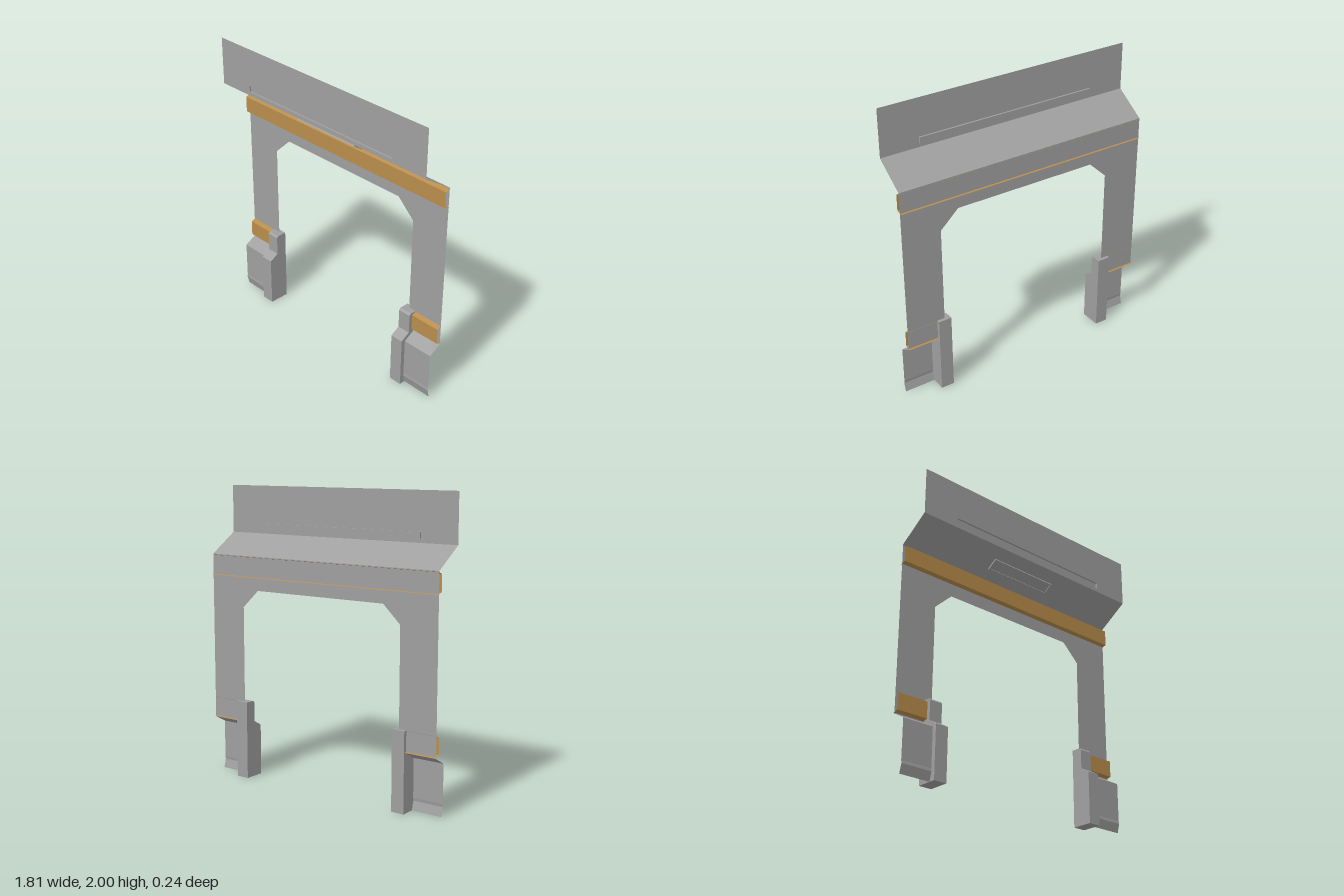
import * as THREE from 'three';

const grey = new THREE.MeshStandardMaterial({ color: 0x9f9f9f, side: THREE.DoubleSide, flatShading: true });
const ochre = new THREE.MeshStandardMaterial({ color: 0xb88d4b, side: THREE.DoubleSide, flatShading: true });

function addMesh(parent, name, geometry, material = grey) {
  const mesh = new THREE.Mesh(geometry, material);
  mesh.name = name;
  parent.add(mesh);
  return mesh;
}

// Open sheet: a [z, y] profile, listed from top to bottom, swept along x
function sheet(profile, x0, x1) {
  const pos = [];
  for (let i = 0; i < profile.length - 1; i++) {
    const [za, ya] = profile[i], [zb, yb] = profile[i + 1];
    pos.push(x0, ya, za, x0, yb, zb, x1, yb, zb);
    pos.push(x0, ya, za, x1, yb, zb, x1, ya, za);
  }
  const g = new THREE.BufferGeometry();
  g.setAttribute('position', new THREE.Float32BufferAttribute(pos, 3));
  g.computeVertexNormals();
  return g;
}

// Solid bar: a closed [z, y] profile extruded along x
function bar(profile, x0, x1) {
  const shape = new THREE.Shape(profile.map(([z, y]) => new THREE.Vector2(-z, y)));
  const g = new THREE.ExtrudeGeometry(shape, { depth: x1 - x0, bevelEnabled: false });
  return g.rotateY(Math.PI / 2).translate(x0, 0, 0);
}

// Rectangle of half sizes w, h around (0, y)
function rect(Type, w, h, y = 0) {
  return new Type([[-w, y - h], [w, y - h], [w, y + h], [-w, y + h]].map(p => new THREE.Vector2(...p)));
}

export function createModel() {
  const model = new THREE.Group();
  model.name = 'doorwayWall';
  const W = 0.903, wallZ = -0.095, topZ = 0.118;

  // Wall sheet with a chamfered opening
  const outline = [
    [-W, 0.4], [-0.632, 0.4], [-0.632, 1.19], [-0.505, 1.31], [0.505, 1.31],
    [0.632, 1.19], [0.632, 0.4], [W, 0.4], [W, 1.538], [-W, 1.538],
  ];
  const wall = new THREE.Shape(outline.map(p => new THREE.Vector2(...p)));
  addMesh(model, 'wall', new THREE.ShapeGeometry(wall)).position.z = wallZ;

  // Overhanging slope
  addMesh(model, 'slopingPanel', sheet([[topZ, 1.675], [wallZ, 1.538]], -W, W));

  // Upper panel with a shallow recess
  const upper = rect(THREE.Shape, W, 0.1625, 1.8375);
  upper.holes.push(rect(THREE.Path, 0.637, 0.021, 1.723));
  addMesh(model, 'upperPanel', new THREE.ShapeGeometry(upper)).position.z = topZ;
  const back = topZ - 0.012;
  addMesh(model, 'upperRecess',
    sheet([[topZ, 1.744], [back, 1.744], [back, 1.702], [topZ, 1.702]], -0.637, 0.637));
  for (const s of [-1, 1]) {
    const end = new THREE.PlaneGeometry(0.012, 0.042).rotateY(-s * Math.PI / 2);
    addMesh(model, 'recessEnd', end).position.set(s * 0.637, 1.723, topZ - 0.006);
  }

  // Lamp on the underside of the slope: a framed tray
  const lamp = new THREE.Group();
  lamp.name = 'slopeLamp';
  const frame = rect(THREE.Shape, 0.257, 0.042);
  frame.holes.push(rect(THREE.Path, 0.247, 0.032));
  addMesh(lamp, 'lampFrame', new THREE.ExtrudeGeometry(frame, { depth: 0.012, bevelEnabled: false }));
  addMesh(lamp, 'lampPlate', new THREE.PlaneGeometry(0.494, 0.064)).position.z = 0.006;
  lamp.position.set(0, 1.603, 0.01);
  lamp.rotation.x = Math.atan2(topZ - wallZ, 0.137);
  model.add(lamp);

  // Coloured trim, open at the back, its lower lip reaching behind the wall
  const trim = y => [[-0.099, y + 0.132], [-0.065, y + 0.117], [-0.065, y + 0.007], [-0.106, y - 0.004]];
  addMesh(model, 'upperTrim', sheet(trim(1.4), -W, W), ochre);

  // Parts that repeat on both sides of the opening
  const post = [[-0.118, 0], [0.025, 0], [0.025, 0.352], [-0.04, 0.39], [-0.04, 0.522], [-0.052, 0.535], [-0.118, 0.535]];
  const base = [[wallZ, 0.397], [wallZ, 0.39], [-0.005, 0.34], [-0.005, 0.08], [-0.002, 0.06], [-0.018, 0]];
  for (const s of [-1, 1]) {
    const span = (a, b) => (s > 0 ? [a, b] : [-b, -a]);
    const side = s > 0 ? 'left' : 'right';
    addMesh(model, side + 'Post', bar(post, ...span(0.595, 0.686)));
    addMesh(model, side + 'LowerTrim', sheet(trim(0.4), ...span(0.66, W)), ochre);
    addMesh(model, side + 'BasePanel', sheet(base, ...span(0.686, W)));
  }
  return model;
}
